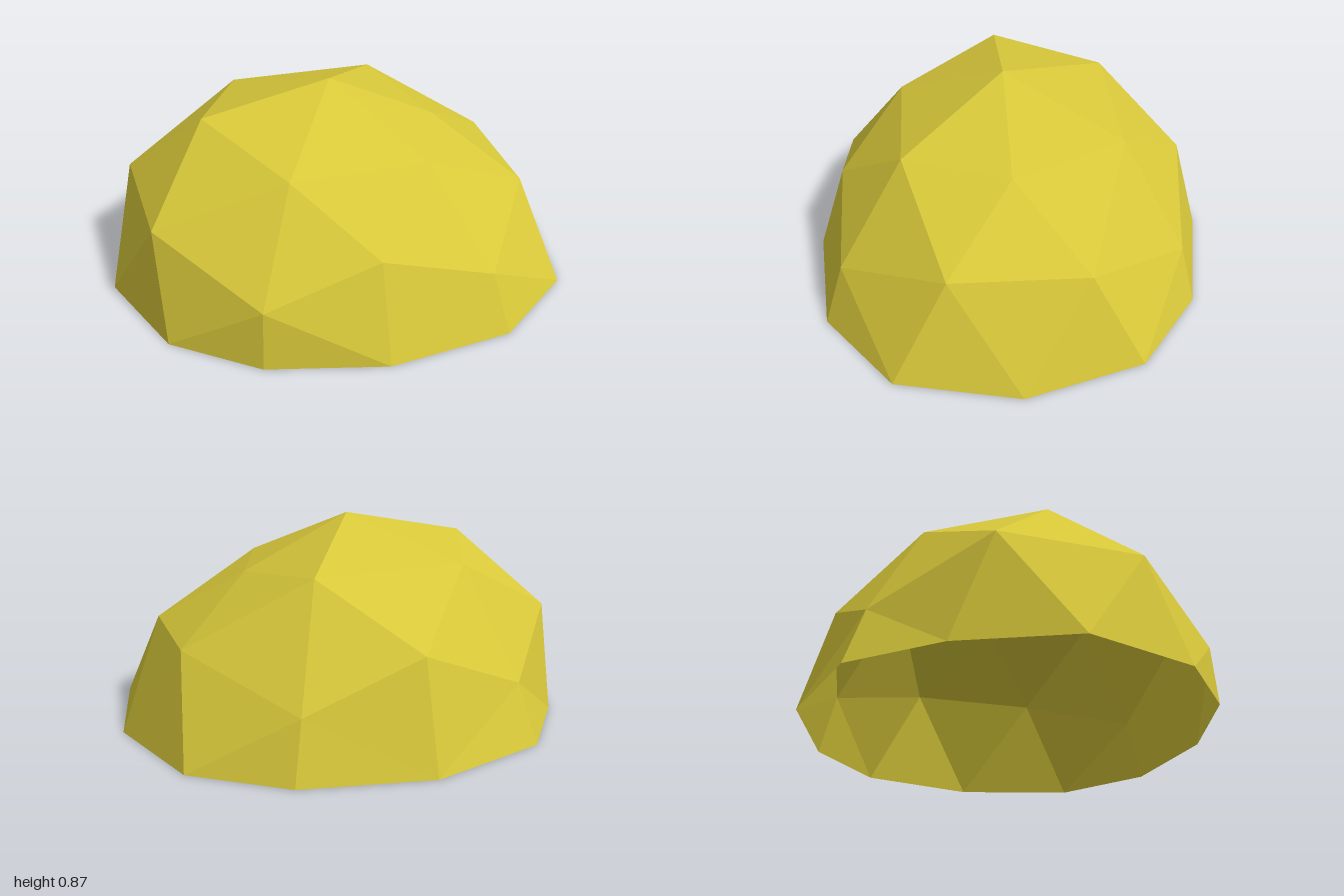
import * as THREE from 'three';

// Vertex rings of the faceted dome, each running from +x round towards +z
const APEX = [-0.02, 0.87, 0.03];
const UPPER = [
  [0.45, 0.65, 0.03], [0.27, 0.645, 0.47], [-0.31, 0.645, 0.47],
  [-0.57, 0.755, 0.03], [-0.34, 0.71, -0.44], [0.31, 0.71, -0.44],
];
const MIDDLE = [
  [0.80, 0.425, -0.25], [0.77, 0.41, 0.31], [0.46, 0.25, 0.74], [-0.02, 0.40, 0.745],
  [-0.49, 0.25, 0.735], [-0.84, 0.43, 0.32], [-0.86, 0.44, -0.26], [-0.49, 0.25, -0.67],
  [-0.02, 0.45, -0.755], [0.46, 0.25, -0.69],
];
const BASE = [
  [1, 0.03], [0.88, 0.54], [0.51, 0.82], [-0.02, 0.875], [-0.5, 0.75], [-0.83, 0.49],
  [-1, 0.03], [-0.82, -0.42], [-0.54, -0.75], [-0.02, -0.88], [0.51, -0.75], [0.86, -0.47],
].map(([x, z]) => [x, 0, z]);

// Joins two rings: each upper vertex fans over widths[i] edges of the lower ring
function band(upper, lower, start, widths) {
  const tris = [];
  const low = (k) => lower[(k + lower.length) % lower.length];
  let k = start;
  upper.forEach((u, i) => {
    for (let n = 0; n < widths[i]; n++, k++) tris.push(u, low(k + 1), low(k));
    if (upper.length > 1) tris.push(u, upper[(i + 1) % upper.length], low(k));
  });
  return tris;
}

export function createModel() {
  const yellow = new THREE.MeshStandardMaterial({ color: 0xd9c93a, side: THREE.DoubleSide, flatShading: true });
  yellow.name = 'yellow';
  const group = new THREE.Group();
  group.name = 'geodesicDome';

  const addPart = (name, tris) => {
    const geometry = new THREE.BufferGeometry();
    geometry.setAttribute('position', new THREE.Float32BufferAttribute(tris.flat(), 3));
    geometry.computeVertexNormals();
    const mesh = new THREE.Mesh(geometry, yellow);
    mesh.name = name;
    group.add(mesh);
  };

  // Open shell: cap, shoulder and wall down to the ground
  addPart('domeCap', band([APEX], UPPER, 0, [6]));
  addPart('domeShoulder', band(UPPER, MIDDLE, 0, [1, 2, 2, 1, 2, 2]));
  addPart('domeWall', band(MIDDLE, BASE, -1, [1, 1, 2, 0, 2, 1, 1, 2, 0, 2]));
  return group;
}
